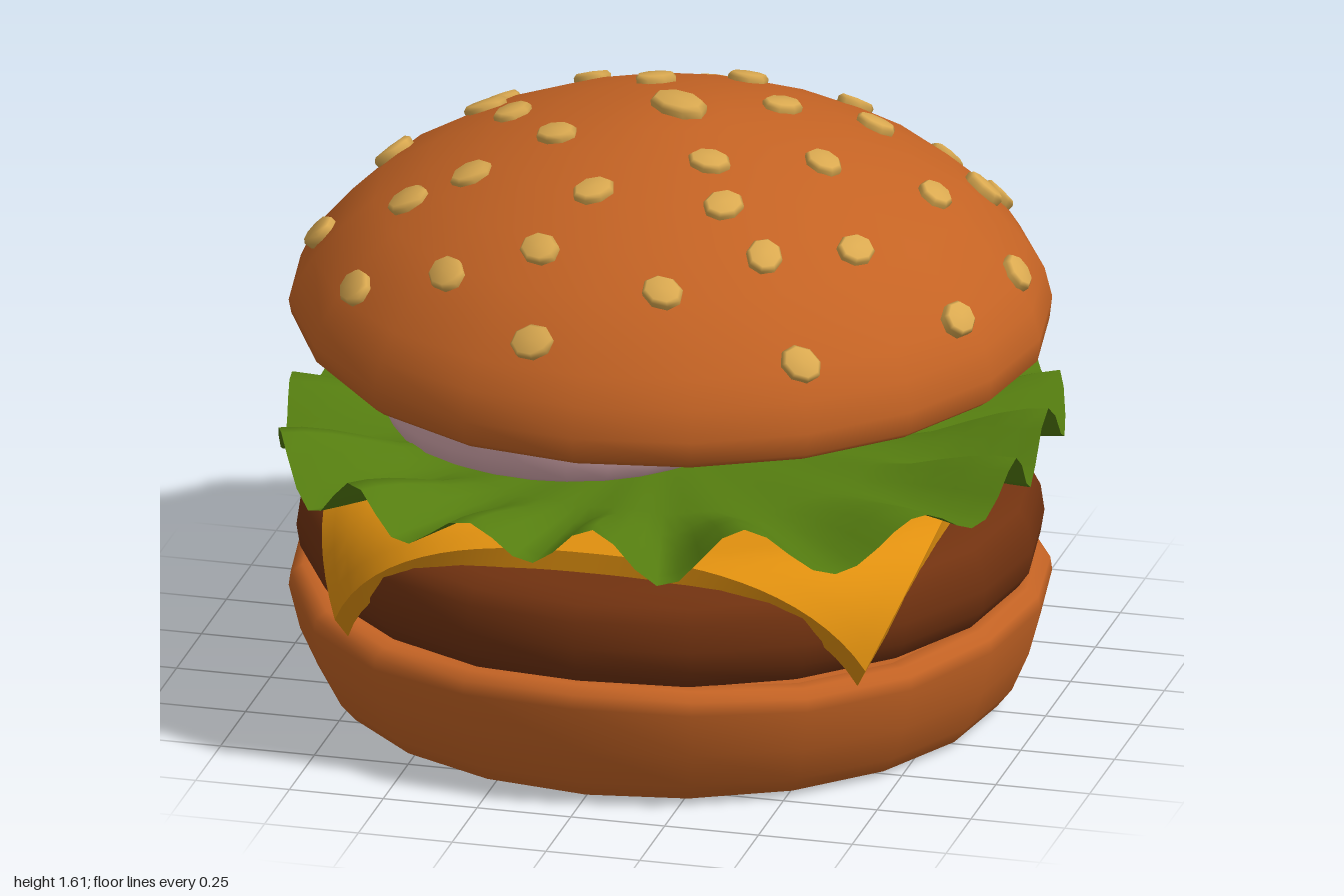
import * as THREE from 'three';
import { mergeVertices } from 'three/addons/utils/BufferGeometryUtils.js';

const flat = (name, color, side = THREE.FrontSide) => {
  const m = new THREE.MeshStandardMaterial({ color, side });
  m.name = name;
  return m;
};

// Move every vertex by a rule, then rebuild smooth normals
function deform(geo, rule) {
  const p = geo.attributes.position, v = new THREE.Vector3();
  for (let i = 0; i < p.count; i++) {
    rule(v.fromBufferAttribute(p, i));
    p.setXYZ(i, v.x, v.y, v.z);
  }
  geo.computeVertexNormals();
  return geo;
}

// Round layer turned from a profile of [radius, height], welded at the seam
function turned(profile, sides, rule = () => {}) {
  let geo = new THREE.LatheGeometry(profile.map(([r, y]) => new THREE.Vector2(r, y)), sides);
  geo.deleteAttribute('uv');
  geo.deleteAttribute('normal');
  geo = mergeVertices(geo, 1e-4);
  return deform(geo, rule);
}

const DOME = [[0.985, 1.05], [0.965, 1.13], [0.92, 1.2], [0.85, 1.28], [0.765, 1.355], [0.63, 1.435],
  [0.47, 1.505], [0.31, 1.55], [0.15, 1.583], [0, 1.592]];

// Height and slope of the dome at a radius
function domeAt(r) {
  for (let i = 0; i < DOME.length - 1; i++) {
    const [r0, y0] = DOME[i], [r1, y1] = DOME[i + 1];
    if (r >= r1) return { y: y0 + (y1 - y0) * (r - r0) / (r1 - r0), slope: (y1 - y0) / (r0 - r1) };
  }
  return { y: 1.592, slope: 0 };
}

// Seed centres as x, z pairs
const SEEDS = [
  0.14, -0.91, -0.44, -0.74, -0.08, -0.73, 0.29, -0.74, 0.55, -0.69, 0.34, -0.57, 0.73, -0.53, -0.81, -0.47,
  -0.56, -0.43, -0.34, -0.5, 0.09, -0.44, 0.46, -0.32, 0.74, -0.35, -0.55, -0.22, -0.77, -0.13, -0.11, -0.27,
  0.25, -0.18, -0.43, -0.04, 0.02, -0.01, 0.69, -0.05, 0.91, -0.04, 0.43, 0.09, -0.89, 0.16, -0.26, 0.16,
  0.17, 0.25, -0.61, 0.33, -0.45, 0.3, -0.09, 0.43, 0.25, 0.41, 0.59, 0.37, 0.85, 0.32, 0.39, 0.53,
  -0.69, 0.56, -0.42, 0.66, -0.18, 0.63, 0.17, 0.72, 0.54, 0.73, -0.14, 0.86,
];

export function createModel() {
  const group = new THREE.Group();
  group.name = 'burger';
  const bun = flat('bun', 0xc46324);
  const meat = flat('meat', 0x713210);
  const cheese = flat('cheese', 0xe0900f);
  const tomato = flat('tomato', 0xcc5a26);
  const leaf = flat('leaf', 0x557d10, THREE.DoubleSide);
  const onion = flat('onion', 0xdcadb3);
  const seed = flat('seed', 0xdaa950);
  const add = (name, geo, mat) => {
    const mesh = new THREE.Mesh(geo, mat);
    mesh.name = name;
    group.add(mesh);
    return mesh;
  };

  // Bottom bun with a gently wavy raised rim
  add('bottomBun', turned([[0, 0.01], [0.84, 0.01], [0.87, 0.022], [0.91, 0.07], [0.955, 0.17], [0.985, 0.29],
    [0.98, 0.325], [0.95, 0.345], [0.91, 0.345], [0.87, 0.32], [0, 0.31]], 20, v => {
    v.y += 0.014 * Math.cos(4 * Math.atan2(v.x, v.z)) * v.y / 0.35;
    if (v.y < 0.02) v.y = Math.max(0, v.y);
  }), bun);

  // Patty
  add('patty', turned([[0, 0.32], [0.86, 0.325], [0.92, 0.35], [0.955, 0.4], [0.965, 0.46], [0.955, 0.53],
    [0.93, 0.57], [0.88, 0.595], [0.8, 0.607], [0, 0.61]], 20), meat);

  // Square cheese slice whose corners hang over the patty
  add('cheeseSlice', deform(new THREE.BoxGeometry(1.6, 0.055, 1.6, 32, 1, 32), v => {
    const under = v.y < 0;
    const r = Math.hypot(v.x, v.z);
    const t = Math.max(0, (r - 0.8) / 0.3314);
    if (t > 0) {
      const reach = 0.8 + 0.2 * (1 - (1 - t) ** 2) - (under ? 0.04 * t : 0);
      v.x *= reach / r;
      v.z *= reach / r;
    }
    v.y = (under ? 0.608 : 0.663) - 0.29 * t ** 1.6;
  }), cheese);

  // Tomato slice
  add('tomatoSlice', new THREE.CylinderGeometry(0.53, 0.53, 0.03, 24).translate(-0.27, 0.677, -0.27), tomato);

  // Lettuce leaf: a disc that ruffles toward a slightly squarish edge
  const sheet = turned([[1, 0], [0.94, 0], [0.87, 0], [0.79, 0], [0.7, 0], [0.58, 0], [0.3, 0], [0, 0]], 112, v => {
    const a = Math.atan2(v.x, v.z), r = Math.hypot(v.x, v.z);
    const s = THREE.MathUtils.smoothstep(r, 0.5, 1);
    const wave = Math.sin(16 * a + 0.9 * Math.sin(3 * a + 1));
    const size = 0.985 + 0.065 * Math.sin(2 * a) ** 2 + 0.012 * s * Math.sin(11 * a);
    v.x = THREE.MathUtils.clamp(v.x * size, -1, 1);
    v.z *= size;
    v.y = 0.697 + 0.043 * s + s * (0.062 + 0.018 * Math.sin(5 * a)) * wave;
  });
  add('lettuce', sheet, leaf);

  // Thick onion slice, set off centre
  const ring = add('onionSlice', turned([[0, 0.695], [0.42, 0.695], [0.47, 0.72], [0.495, 0.77], [0.505, 0.84],
    [0.495, 0.91], [0.47, 0.97], [0.43, 1.0], [0, 1.0]], 28), onion);
  ring.position.x = -0.26;

  // Top bun, its lower edge lifted on one side
  add('topBun', turned([[0, 0.965], [0.9, 0.965], [0.95, 0.97], [0.978, 0.99], ...DOME], 20, v => {
    const lift = Math.max(0, -v.x - 0.5) * 0.15;
    v.y += lift * THREE.MathUtils.clamp((1.13 - v.y) / 0.16, 0, 1);
  }), bun);

  // Sesame seeds lying along the dome
  const seeds = new THREE.Group();
  seeds.name = 'sesameSeeds';
  group.add(seeds);
  const seedGeo = turned([[0, -0.03], [0.05, -0.03], [0.053, 0.014], [0.044, 0.024], [0, 0.026]], 8);
  const up = new THREE.Vector3(0, 1, 0);
  for (let i = 0; i < SEEDS.length; i += 2) {
    const x = SEEDS[i], z = SEEDS[i + 1], r = Math.hypot(x, z);
    const { y, slope } = domeAt(r);
    const mesh = new THREE.Mesh(seedGeo, seed);
    mesh.name = 'sesameSeed';
    const normal = new THREE.Vector3(x / r * slope, 1, z / r * slope).normalize();
    mesh.position.set(x, y, z).addScaledVector(normal, -0.005);
    mesh.quaternion.setFromUnitVectors(up, normal);
    mesh.rotateY(i * 1.7);
    mesh.scale.set(1.08, 1, 0.9);
    if (r < 0.05) {
      mesh.rotation.set(0, -0.6, 0);
      mesh.scale.set(1.7, 1.3, 1.1);
    }
    seeds.add(mesh);
  }
  return group;
}
